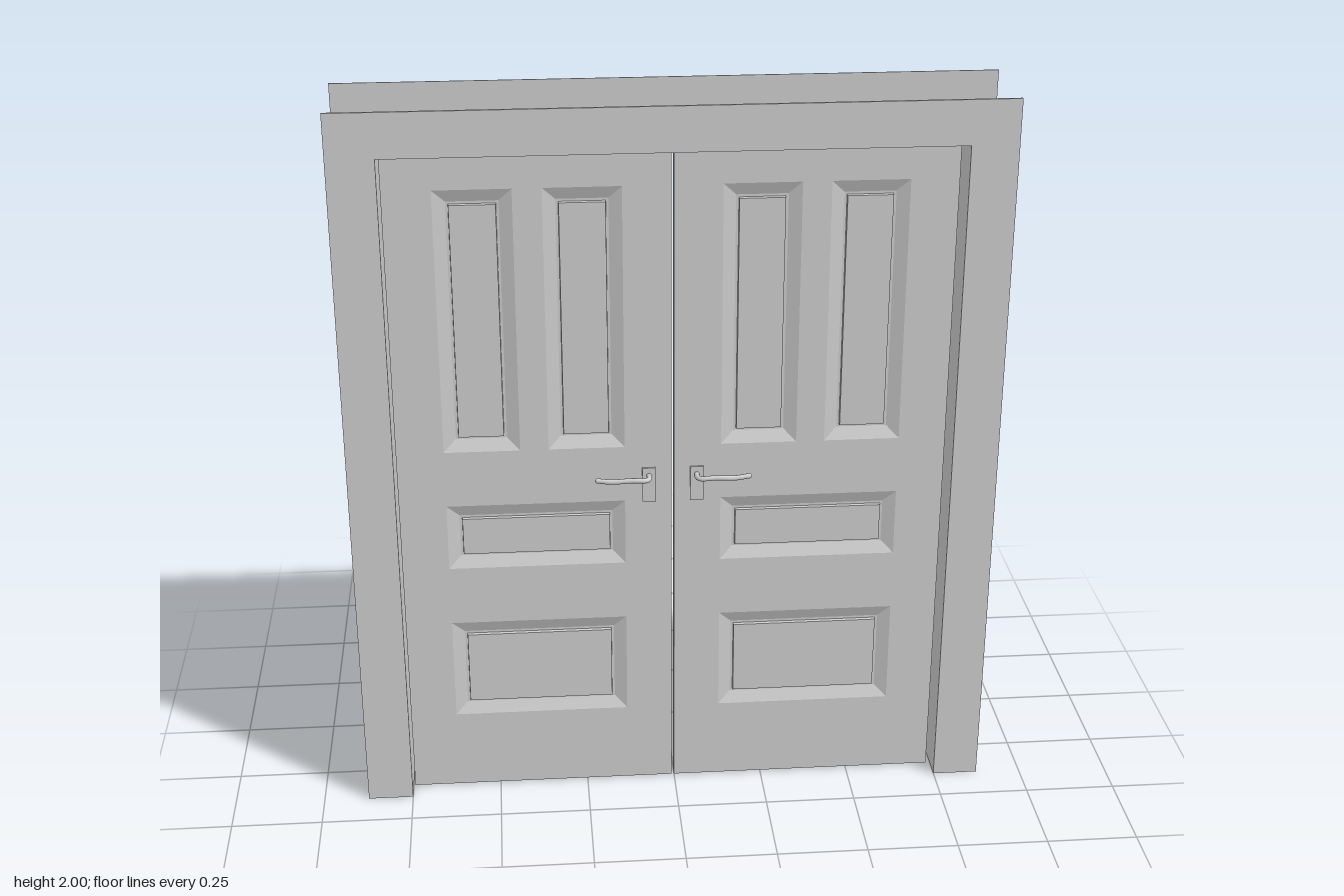
import * as THREE from 'three';

const material = new THREE.MeshStandardMaterial({ color: 0xcccccc });

function add(parent, name, geometry, x = 0, y = 0, z = 0) {
  const mesh = new THREE.Mesh(geometry, material);
  mesh.name = name;
  mesh.position.set(x, y, z);
  parent.add(mesh);
  return mesh;
}

function box(parent, name, w, h, d, x, y, z) {
  return add(parent, name, new THREE.BoxGeometry(w, h, d), x, y, z);
}

// Doorway sizes
const W = 0.875, H = 2, OPEN = 0.75, HEAD = 1.88, HALF = 0.143;
// Door leaf sizes
const LEAF_W = 0.738, LEAF_H = 1.872, BOTTOM = 0.004, THICK = 0.035, LEAF_Z = 0.073;

// Panels relative to the leaf centre line: x0, x1, y0, y1
const PANELS = [
  [-0.242, -0.038, 1.05, 1.78],
  [0.038, 0.242, 1.05, 1.78],
  [-0.242, 0.242, 0.7, 0.89],
  [-0.242, 0.242, 0.235, 0.53],
];

// Sunken bevel, flat groove and raised field, as stacked rectangles [inset, z]
const PROFILE = [[0, 0], [0.034, -0.014], [0.041, -0.014], [0.042, -0.004]];

function panelGeometry(w, h) {
  const rings = PROFILE.map(([inset, z]) => {
    const a = w / 2 - inset, b = h / 2 - inset;
    return [[-a, -b, z], [a, -b, z], [a, b, z], [-a, b, z]];
  });
  const pos = [];
  const quad = (a, b, c, d) => pos.push(...a, ...b, ...c, ...a, ...c, ...d);
  for (let r = 0; r < rings.length - 1; r++) {
    for (let i = 0; i < 4; i++) {
      const j = (i + 1) % 4;
      quad(rings[r][i], rings[r][j], rings[r + 1][j], rings[r + 1][i]);
    }
  }
  quad(...rings[rings.length - 1]);
  const g = new THREE.BufferGeometry();
  g.setAttribute('position', new THREE.Float32BufferAttribute(pos, 3));
  g.computeVertexNormals();
  return g;
}

// Door slab with a rectangular hole behind every panel
function slabGeometry() {
  const rect = (P, x0, x1, y0, y1) => {
    const p = new P();
    p.moveTo(x0, y0).lineTo(x1, y0).lineTo(x1, y1).lineTo(x0, y1).closePath();
    return p;
  };
  const shape = rect(THREE.Shape, -LEAF_W / 2, LEAF_W / 2, BOTTOM, BOTTOM + LEAF_H);
  for (const p of PANELS) shape.holes.push(rect(THREE.Path, ...p));
  const g = new THREE.ExtrudeGeometry(shape, { depth: THICK, bevelEnabled: false });
  return g.translate(0, 0, -THICK / 2);
}

// Back plate and curved lever; dir is the way the lever points along x
function makeHandle(dir) {
  const handle = new THREE.Group();
  handle.name = 'handle';
  box(handle, 'handlePlate', 0.036, 0.1, 0.005, 0, -0.028, 0.0025);
  const path = new THREE.CatmullRomCurve3([
    [0, 0, 0.002], [0, 0, 0.026], [0.008, 0, 0.036], [0.05, 0.002, 0.038],
    [0.1, -0.001, 0.036], [0.14, 0.001, 0.03],
  ].map(([x, y, z]) => new THREE.Vector3(dir * x, y, z)));
  add(handle, 'lever', new THREE.TubeGeometry(path, 28, 0.007, 10));
  const tip = path.getPoint(1);
  add(handle, 'leverTip', new THREE.SphereGeometry(0.007, 10, 8), tip.x, tip.y, tip.z);
  return handle;
}

// One door leaf; side is -1 for the right leaf, +1 for the left leaf
function makeLeaf(side) {
  const leaf = new THREE.Group();
  leaf.name = side > 0 ? 'leftDoor' : 'rightDoor';
  add(leaf, 'doorSlab', slabGeometry());
  for (const face of [1, -1]) {
    const half = new THREE.Group();
    half.name = face > 0 ? 'frontFace' : 'backFace';
    if (face < 0) half.rotation.y = Math.PI;
    for (const [x0, x1, y0, y1] of PANELS) {
      add(half, 'panel', panelGeometry(x1 - x0, y1 - y0),
        (x0 + x1) / 2, (y0 + y1) / 2, THICK / 2);
    }
    const handle = makeHandle(side * face);
    handle.position.set(-side * face * 0.307, 0.965, THICK / 2);
    half.add(handle);
    leaf.add(half);
  }
  leaf.position.set(side > 0 ? 0.368 : -0.376, 0, LEAF_Z);
  return leaf;
}

// Flat trim around the opening
function casingGeometry(depth) {
  const s = new THREE.Shape();
  s.moveTo(-W, 0).lineTo(-OPEN, 0).lineTo(-OPEN, HEAD).lineTo(OPEN, HEAD);
  s.lineTo(OPEN, 0).lineTo(W, 0).lineTo(W, H).lineTo(-W, H).closePath();
  return new THREE.ExtrudeGeometry(s, { depth, bevelEnabled: false });
}

export function createModel() {
  const model = new THREE.Group();
  model.name = 'doubleDoor';

  // Frame: trim on both faces, thin lining between them
  add(model, 'frontCasing', casingGeometry(0.007), 0, 0, HALF - 0.007);
  add(model, 'backCasing', casingGeometry(0.003), 0, 0, -HALF);
  const depth = 2 * HALF - 0.01, z = -0.002, t = 0.005;
  for (const s of [-1, 1]) {
    box(model, s > 0 ? 'leftJamb' : 'rightJamb', t, HEAD + t, depth,
      s * (OPEN + t / 2), (HEAD + t) / 2, z);
  }
  box(model, 'headJamb', 2 * OPEN, t, depth, 0, HEAD + t / 2, z);

  // Door leaves
  model.add(makeLeaf(-1), makeLeaf(1));
  return model;
}
